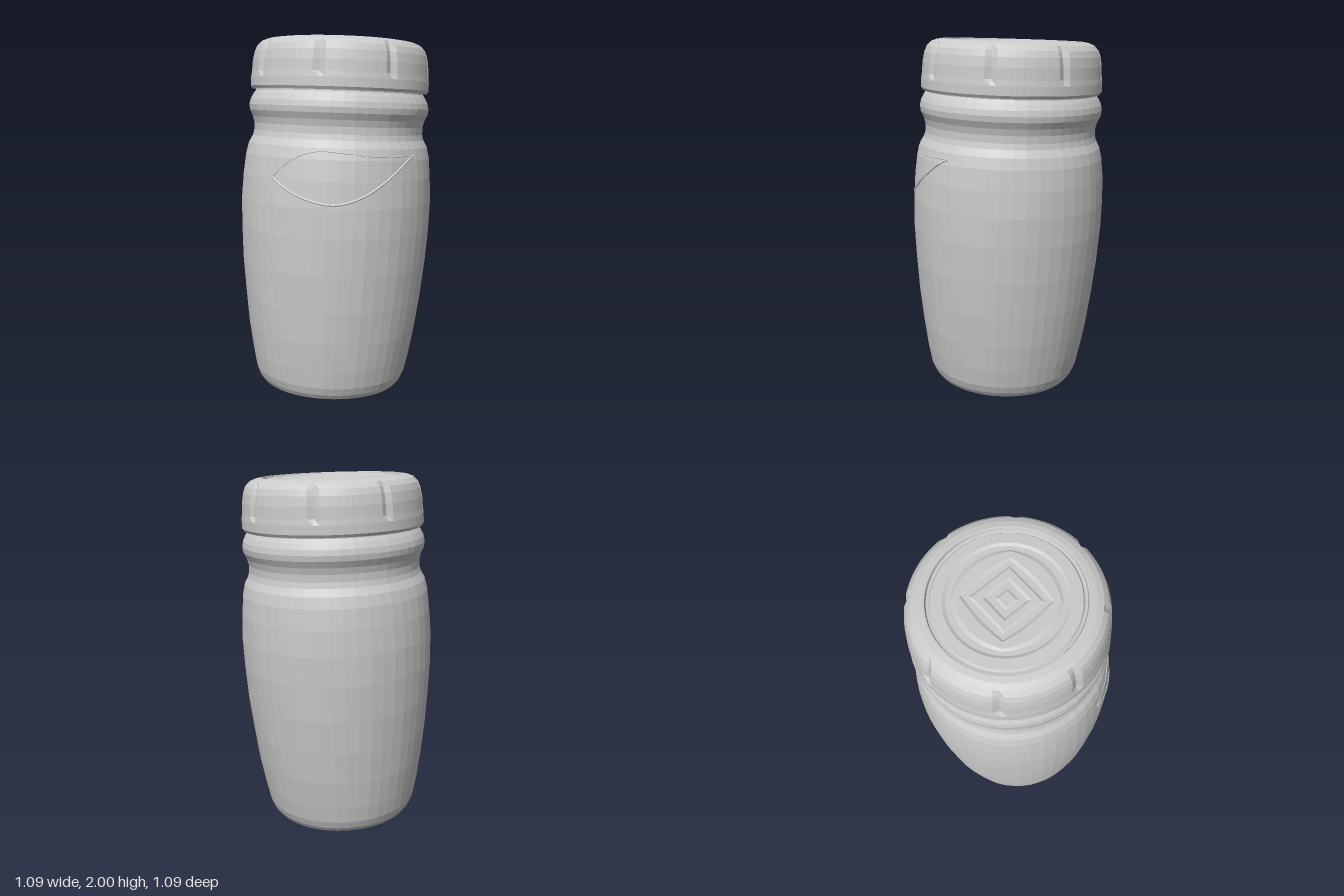
import * as THREE from 'three';

const material = new THREE.MeshStandardMaterial({ color: 0xcccccc, flatShading: true });
const vectors = points => points.map(([r, y]) => new THREE.Vector2(r, y));

// Half profile of the jar: recessed base, bulging body, neck and bead
const wall = [
  [0.425, 0.055], [0.443, 0.1], [0.463, 0.2], [0.489, 0.36], [0.511, 0.54], [0.53, 0.74],
  [0.542, 0.94], [0.544, 1.1], [0.537, 1.24], [0.525, 1.35], [0.51, 1.41],
];
const base = [[0, 0.045], [0.2, 0.045], [0.335, 0.04], [0.345, 0.02], [0.375, 0.017], [0.405, 0.027]];
const neck = [
  [0.488, 1.45], [0.481, 1.48], [0.481, 1.52], [0.49, 1.555], [0.507, 1.59],
  [0.511, 1.62], [0.505, 1.65], [0.49, 1.68], [0.476, 1.70], [0.476, 1.73],
];

// Half profile of the lid: skirt, rounded shoulder, rim, sunken centre with shallow rings
const lidProfile = [
  [0.465, 1.712], [0.496, 1.707], [0.505, 1.722], [0.504, 1.77], [0.5, 1.80], [0.496, 1.86],
  [0.487, 1.91], [0.474, 1.943], [0.45, 1.968], [0.42, 1.98], [0.388, 1.985], [0.381, 1.984],
  [0.376, 1.968], [0.363, 1.966], [0.355, 1.977], [0.3, 1.979], [0.285, 1.972], [0.26, 1.972],
  [0.245, 1.979], [0.2, 1.979], [0.185, 1.972], [0.155, 1.972], [0.14, 1.979],
  [0.1, 1.979], [0.085, 1.972], [0.05, 1.972], [0.035, 1.978], [0, 1.978],
];

// Applies a rule to every vertex of a geometry
function moveVertices(geometry, rule) {
  const pos = geometry.attributes.position;
  const v = new THREE.Vector3();
  for (let i = 0; i < pos.count; i++) {
    v.fromBufferAttribute(pos, i);
    rule(v, Math.hypot(v.x, v.z), Math.atan2(v.x, v.z));
    pos.setXYZ(i, v.x, v.y, v.z);
  }
  geometry.computeVertexNormals();
  return geometry;
}

function scaleRadius(v, s) {
  v.x *= s;
  v.z *= s;
}

// Body radius at a height, read from the wall profile
function wallRadius(y) {
  for (let i = 1; i < wall.length; i++) {
    const [r0, y0] = wall[i - 1], [r1, y1] = wall[i];
    if (y <= y1) return r0 + (r1 - r0) * (y - y0) / (y1 - y0);
  }
  return wall[wall.length - 1][0];
}

// Thin bead lying on the body, through points given as [x, y] on the front
function surfaceBead(name, points, radius) {
  const flat = new THREE.CatmullRomCurve3(points.map(([x, y]) => new THREE.Vector3(x, y, 0)));
  const path = flat.getPoints(24).map(p => {
    const r = wallRadius(p.y) - 0.001;
    return new THREE.Vector3(p.x, p.y, Math.sqrt(r * r - p.x * p.x));
  });
  const geometry = new THREE.TubeGeometry(new THREE.CatmullRomCurve3(path), 40, radius, 6);
  const mesh = new THREE.Mesh(geometry, material);
  mesh.name = name;
  return mesh;
}

export function createModel() {
  const jar = new THREE.Group();
  jar.name = 'jar';

  // Body with faint handmade unevenness on the wall
  const bodyGeometry = new THREE.LatheGeometry(vectors([...base, ...wall, ...neck]), 48);
  moveVertices(bodyGeometry, (v, r, a) => {
    if (r > 0.41) scaleRadius(v, 1 + 0.003 * Math.sin(5 * a + 9 * v.y) * Math.sin(11 * a - 7 * v.y));
  });
  const body = new THREE.Mesh(bodyGeometry, material);
  body.name = 'body';
  jar.add(body);

  // Lid with eight grip notches and diamond-shaped inner rings
  const segments = 96;
  const lidGeometry = new THREE.LatheGeometry(vectors(lidProfile), segments);
  moveVertices(lidGeometry, (v, r, a) => {
    const column = Math.round(a / (2 * Math.PI) * segments) + segments;
    if (column % 12 === 0 && r > 0.47 && v.y > 1.79 && v.y < 1.95) scaleRadius(v, 1 - 0.016 / r);
    if (r < 0.27) {
      const diamond = 1.15 / (Math.abs(Math.cos(a)) + Math.abs(Math.sin(a)));
      const blend = Math.min(1, (0.27 - r) / 0.1);
      scaleRadius(v, 1 + (diamond - 1) * blend);
    }
  });
  const lid = new THREE.Mesh(lidGeometry, material);
  lid.name = 'lid';
  jar.add(lid);

  // Outline of the front panel: bold lower curve, faint upper curve
  jar.add(
    surfaceBead('panelLowerEdge', [[-0.24, 1.245], [-0.12, 1.175], [0, 1.135], [0.12, 1.122], [0.25, 1.165], [0.37, 1.26], [0.465, 1.375]], 0.007),
    surfaceBead('panelUpperEdge', [[-0.24, 1.245], [-0.14, 1.335], [0, 1.39], [0.16, 1.385], [0.32, 1.37], [0.465, 1.375]], 0.003),
  );

  // The jar leans slightly back and to its left about its middle
  for (const part of jar.children) part.position.y = -1;
  jar.position.y = 1;
  jar.rotation.set(-0.035, 0, -0.026);

  const model = new THREE.Group();
  model.name = 'liddedJar';
  model.add(jar);
  return model;
}
